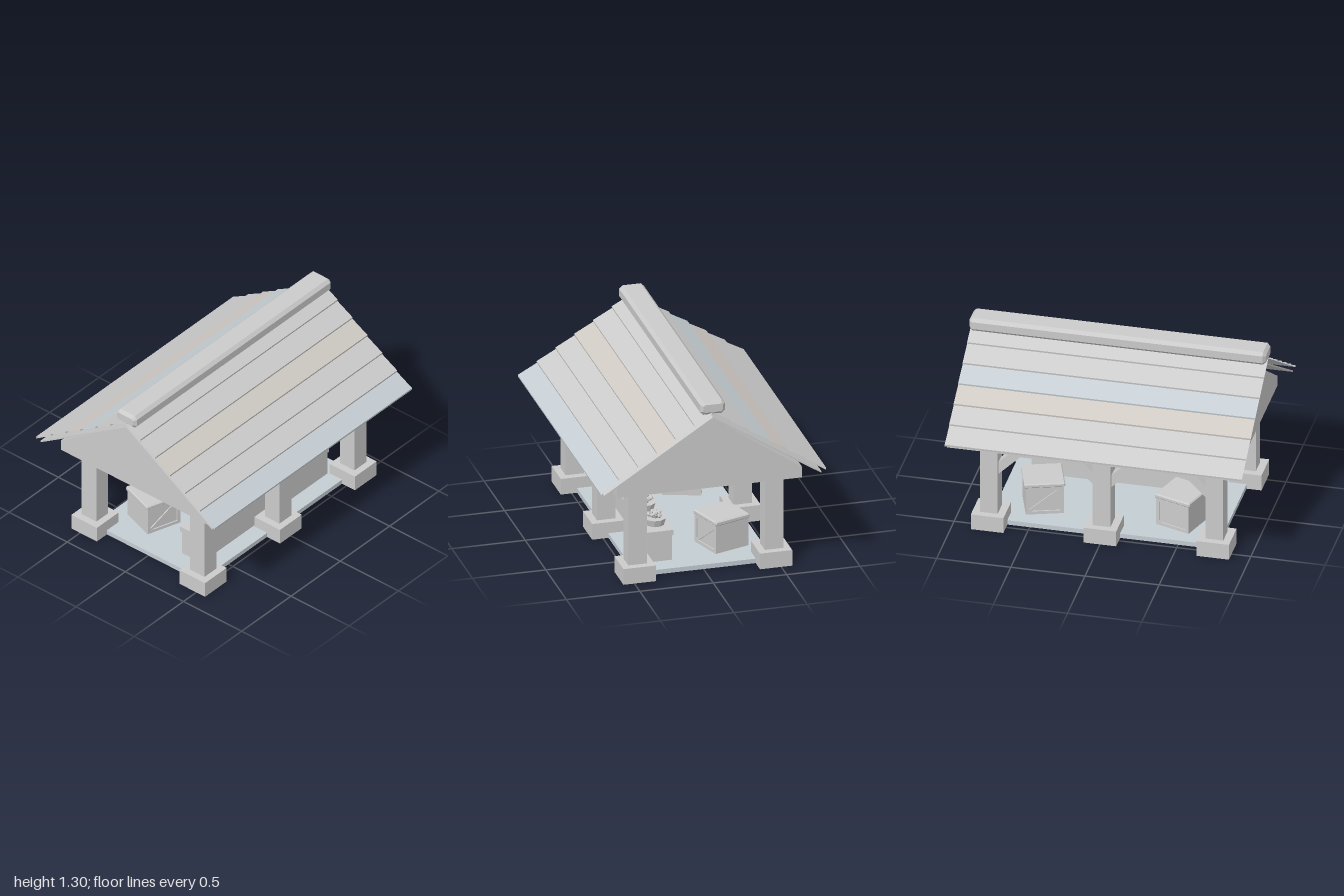
import * as THREE from 'three';

const grey = new THREE.MeshStandardMaterial({ color: 0xcccccc, flatShading: true });
const thin = new THREE.MeshStandardMaterial({ color: 0xcccccc, flatShading: true, side: THREE.DoubleSide });
const slate = new THREE.MeshStandardMaterial({ color: 0xc4cdd3, flatShading: true });

const SLOPE = 0.649; // roof fall per unit of z

function add(parent, name, geometry, x = 0, y = 0, z = 0, material = grey) {
  const mesh = new THREE.Mesh(geometry, material);
  mesh.name = name;
  mesh.position.set(x, y, z);
  parent.add(mesh);
  return mesh;
}

// Box given by its x, y and z ranges
function block(parent, name, [x0, x1], [y0, y1], [z0, z1], material) {
  return add(parent, name, new THREE.BoxGeometry(x1 - x0, y1 - y0, z1 - z0),
    (x0 + x1) / 2, (y0 + y1) / 2, (z0 + z1) / 2, material);
}

// Polygon in the z-y plane, extruded along x and centred on x = 0
function alongX(points, length) {
  const shape = new THREE.Shape(points.map(([z, y]) => new THREE.Vector2(-z, y)));
  const g = new THREE.ExtrudeGeometry(shape, { depth: length, bevelEnabled: false });
  return g.translate(0, 0, -length / 2).rotateY(Math.PI / 2);
}

// Box with chamfered edges, centred on the origin
function chamferBox(w, h, d, c) {
  const a = d / 2 - c, b = h / 2 - c, k = c * 0.5;
  const shape = new THREE.Shape([
    [-a + k, -b], [a - k, -b], [a, -b + k], [a, b - k],
    [a - k, b], [-a + k, b], [-a, b - k], [-a, -b + k],
  ].map(([x, y]) => new THREE.Vector2(x, y)));
  const g = new THREE.ExtrudeGeometry(shape, {
    depth: w - 2 * c, bevelSize: c, bevelThickness: c, bevelSegments: 1,
  });
  return g.translate(0, 0, -w / 2 + c).rotateY(Math.PI / 2);
}

// Open-ended roof board: a wedge cross-section run along x
function shingle(zLow, zHigh, side) {
  const y = z => 1.218 - SLOPE * z;
  const section = [[zLow, y(zLow)], [zLow + 0.002, y(zLow) + 0.014], [zHigh, y(zHigh) + 0.002]];
  const pos = [], index = [];
  for (const x of [-1, 1]) for (const [z, yy] of section) pos.push(x, yy, z * side);
  for (let i = 0; i < 3; i++) {
    const j = (i + 1) % 3;
    if (side > 0) index.push(i, i + 3, j, j, i + 3, j + 3);
    else index.push(i, j, i + 3, j, j + 3, i + 3);
  }
  const g = new THREE.BufferGeometry();
  g.setAttribute('position', new THREE.Float32BufferAttribute(pos, 3));
  g.setIndex(index);
  g.computeVertexNormals();
  return g;
}

function buildFrame(root) {
  const frame = new THREE.Group();
  frame.name = 'timberFrame';
  root.add(frame);
  const bays = [-0.76, 0, 0.76];
  for (const s of [-1, 1]) {
    const z = 0.465 * s;
    for (const x of bays) {
      add(frame, 'postBase', new THREE.BoxGeometry(0.22, 0.112, 0.22), x, 0.056, z);
      add(frame, 'post', new THREE.BoxGeometry(0.12, 0.6, 0.126), x, 0.4, z);
    }
    add(frame, 'eaveBeam', new THREE.BoxGeometry(1.62, 0.11, 0.12), 0, 0.645, z);

    // Diagonal braces in the corners of each bay
    for (const x of bays) for (const d of [-1, 1]) {
      if (Math.abs(x + d) > 1) continue;
      const e = x + d * 0.06;
      const pts = [[0, 0.4], [0.19, 0.59], [0.19, 0.6], [0.11, 0.6], [0, 0.49]];
      const shape = new THREE.Shape(pts.map(([u, v]) => new THREE.Vector2(e + d * u, v)));
      const g = new THREE.ExtrudeGeometry(shape, { depth: 0.07, bevelEnabled: false });
      add(frame, 'brace', g, 0, 0, z - 0.035);
    }
  }
  for (const x of bays)
    add(frame, 'tieBeam', new THREE.BoxGeometry(0.1, 0.1, 0.82), x, 0.67, 0);
}

function buildRoof(root) {
  const roof = new THREE.Group();
  roof.name = 'roof';
  root.add(roof);
  const gable = alongX([[0.63, 0.645], [0.63, 0.72], [0, 1.152], [-0.63, 0.72], [-0.63, 0.645]], 0.09);
  for (const s of [-1, 1]) add(roof, 'gable', gable, s * 0.867);

  // Thin sheathing under the boards
  add(roof, 'sheathing', alongX([
    [0.74, 0.697], [0.74, 0.709], [0, 1.182], [-0.74, 0.709], [-0.74, 0.697], [0, 1.17],
  ], 1.98));

  const blue = thin.clone(), warm = thin.clone();
  blue.color.set(0xc6ced3);
  warm.color.set(0xcfcac4);
  const tints = { '1': [thin, thin, warm, thin, thin, blue], '-1': [thin, thin, blue, warm, thin, thin] };
  for (const s of [1, -1]) for (let i = 0; i < 6; i++)
    add(roof, 'roofBoard', shingle(0.128 * (i + 1), 0.128 * i, s), 0, 0, 0, tints[s][i]);

  add(roof, 'ridgeCap', chamferBox(2, 0.095, 0.17, 0.02), 0, 1.252, 0);
}

function buildPlanter(x, turn) {
  const planter = new THREE.Group();
  planter.name = 'planter';
  planter.position.set(x, 0.25, 0.26);
  planter.rotation.y = turn;
  add(planter, 'pot', new THREE.CylinderGeometry(0.076, 0.062, 0.048, 10), 0, 0.024, 0);
  const leaf = new THREE.IcosahedronGeometry(0.019, 0);
  for (let i = 0; i < 9; i++) {
    const a = i * 2.4, r = 0.045 * Math.sqrt(i / 9);
    const m = add(planter, 'leaf', leaf, r * Math.cos(a), 0.083 - r * 0.5 + (i % 3) * 0.005, r * Math.sin(a));
    m.rotation.set(a, i, 0);
    m.scale.set(1.1, 0.75, 0.9);
  }
  add(planter, 'stems', new THREE.CylinderGeometry(0.04, 0.02, 0.035, 6), 0, 0.055, 0);
  return planter;
}

function buildCrate(x, turn) {
  const crate = new THREE.Group();
  crate.name = 'crate';
  crate.position.set(x, 0.035, -0.205);
  crate.rotation.y = turn;
  add(crate, 'crateBody', new THREE.BoxGeometry(0.25, 0.2, 0.24), 0, 0.1, 0);
  add(crate, 'crateLid', chamferBox(0.27, 0.032, 0.27, 0.007), 0, 0.214, 0);
  // Rails and a diagonal on the two framed faces
  for (const s of [-1, 1]) {
    const z = s * 0.123;
    for (const e of [-1, 1])
      add(crate, 'crateStile', new THREE.BoxGeometry(0.022, 0.2, 0.012), e * 0.114, 0.1, z);
    for (const y of [0.011, 0.189])
      add(crate, 'crateRail', new THREE.BoxGeometry(0.206, 0.022, 0.012), 0, y, z);
    add(crate, 'crateDiagonal', new THREE.BoxGeometry(0.26, 0.022, 0.01), 0, 0.1, z)
      .rotation.z = s * 0.65;
  }
  return crate;
}

export function createModel() {
  const root = new THREE.Group();
  root.name = 'marketStall';
  block(root, 'floor', [-0.77, 0.77], [0.002, 0.034], [-0.465, 0.465], slate);
  buildFrame(root);
  buildRoof(root);

  // Counter with a row of planters
  block(root, 'counterBody', [-0.638, 0.638], [0.034, 0.212], [0.18, 0.347]);
  block(root, 'counterTop', [-0.645, 0.645], [0.212, 0.25], [0.17, 0.355]);
  for (let i = 0; i < 5; i++) root.add(buildPlanter((i - 2) * 0.256, i * 0.63));

  for (const s of [-1, 1]) root.add(buildCrate(s * 0.47, s * 0.32));
  return root;
}
